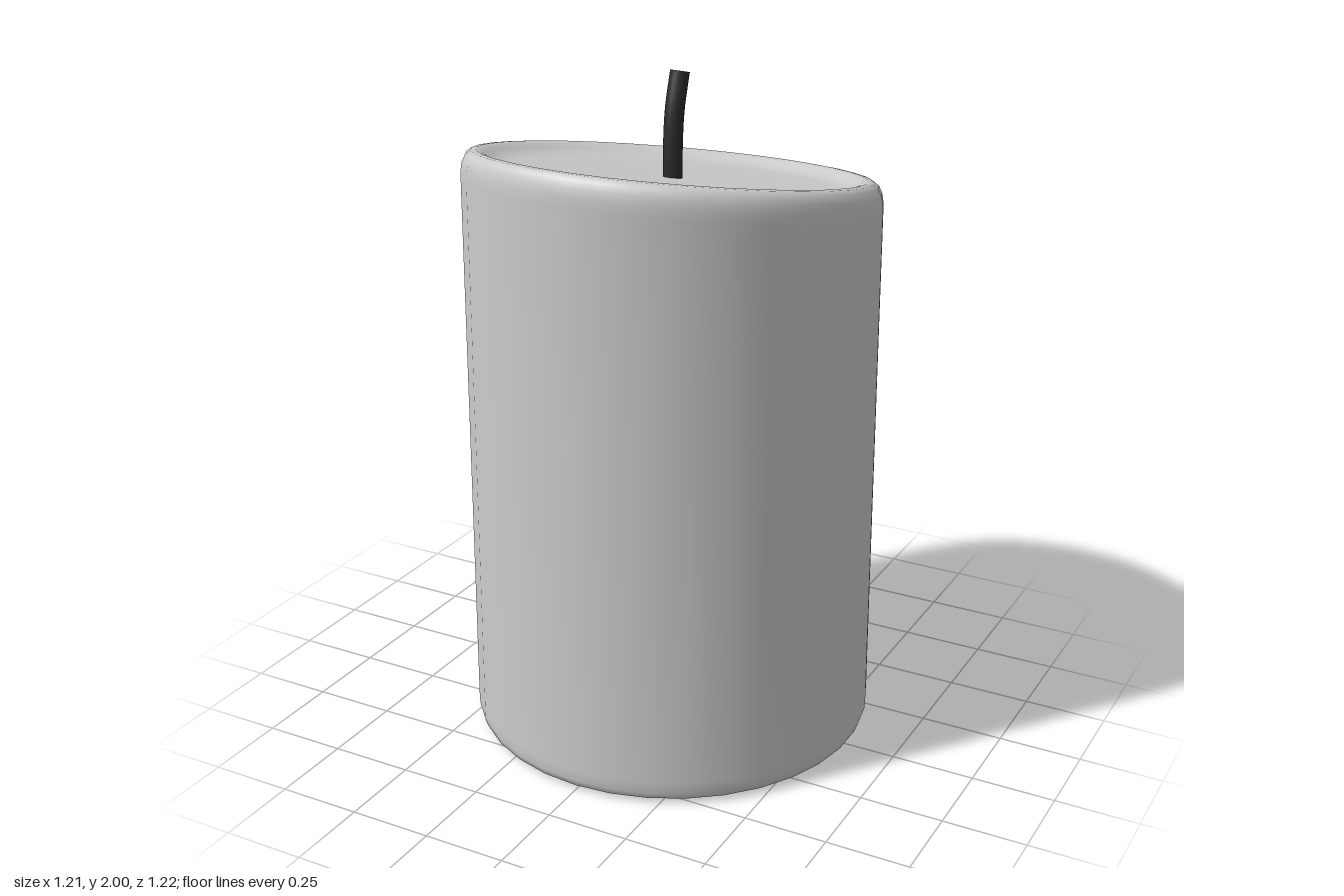
import * as THREE from 'three';
import { mergeVertices } from 'three/addons/utils/BufferGeometryUtils.js';

const SIDES = 34;
const TOP = 1.735;   // rim height on the axis
const SLOPE = 0.18;  // the top rises toward the front

// Wax body: a lathed pillar whose upper end is sheared into a slant
function makeBody(material) {
  const profile = [
    [0, 0], [0.3, 0], [0.56, 0], [0.585, 0.004], [0.602, 0.015], [0.609, 0.035], [0.61, 0.07],
    [0.607, 0.6], [0.604, 1.2], [0.602, TOP - 0.09],
    [0.601, TOP - 0.06], [0.597, TOP - 0.035], [0.587, TOP - 0.014], [0.572, TOP - 0.002],
    [0.556, TOP], [0.54, TOP - 0.005], [0.522, TOP - 0.016], [0.5, TOP - 0.027],
    [0.46, TOP - 0.034], [0.3, TOP - 0.038], [0, TOP - 0.04],
  ].map(([r, y]) => new THREE.Vector2(r, y));
  let geometry = new THREE.LatheGeometry(profile, SIDES);

  const p = geometry.attributes.position;
  for (let i = 0; i < p.count; i++) {
    const y = p.getY(i);
    const amount = THREE.MathUtils.clamp((y - 0.07) / (TOP - 0.16), 0, 1);
    p.setY(i, y + SLOPE * p.getZ(i) * amount);
  }

  // Weld the seam so the shading runs smoothly all round
  geometry.deleteAttribute('uv');
  geometry.deleteAttribute('normal');
  geometry = mergeVertices(geometry, 1e-4);
  geometry.computeVertexNormals();
  const body = new THREE.Mesh(geometry, material);
  body.name = 'waxBody';
  return body;
}

// Wick: a tube that leans backward, closed by a flat tip
function makeWick(material) {
  const radius = 0.028, sides = 12;
  const path = new THREE.CatmullRomCurve3([
    new THREE.Vector3(0, 1.66, 0),
    new THREE.Vector3(0, 1.79, 0),
    new THREE.Vector3(0, 1.89, -0.011),
    new THREE.Vector3(0.002, 1.993, -0.038),
  ]);
  const wick = new THREE.Group();
  wick.name = 'wick';

  const stem = new THREE.Mesh(new THREE.TubeGeometry(path, 14, radius, sides), material);
  stem.name = 'wickStem';

  const tip = new THREE.Mesh(new THREE.CircleGeometry(radius, sides), material);
  tip.name = 'wickTip';
  tip.position.copy(path.getPoint(1));
  tip.quaternion.setFromUnitVectors(new THREE.Vector3(0, 0, 1), path.getTangent(1));

  wick.add(stem, tip);
  return wick;
}

export function createModel() {
  const wax = new THREE.MeshStandardMaterial({ color: 0xcccccc });
  const char = new THREE.MeshStandardMaterial({ color: 0x2b2b2b });
  const candle = new THREE.Group();
  candle.name = 'candle';
  candle.add(makeBody(wax), makeWick(char));
  return candle;
}
